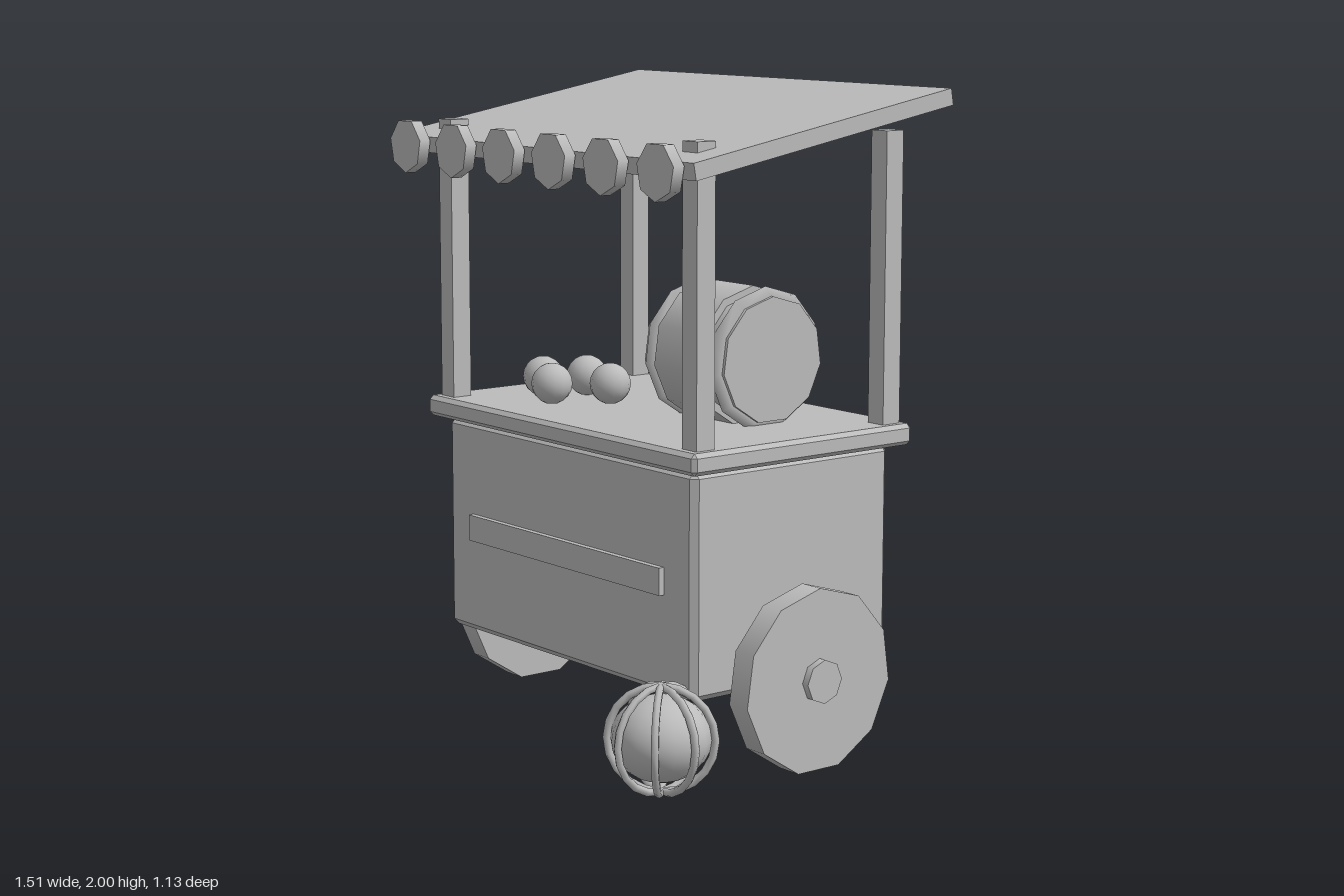
import * as THREE from 'three';
import { ConvexGeometry } from 'three/addons/geometries/ConvexGeometry.js';

const grey = new THREE.MeshStandardMaterial({ color: 0xbcbcbc });
grey.name = 'plain grey';

// Box with every edge chamfered by c
function chamferBox(w, h, d, c) {
  const pts = [];
  for (const sx of [-1, 1]) for (const sy of [-1, 1]) for (const sz of [-1, 1]) {
    const x = w / 2, y = h / 2, z = d / 2;
    pts.push(
      new THREE.Vector3(sx * x, sy * (y - c), sz * (z - c)),
      new THREE.Vector3(sx * (x - c), sy * y, sz * (z - c)),
      new THREE.Vector3(sx * (x - c), sy * (y - c), sz * z));
  }
  return new ConvexGeometry(pts);
}

// Cylinder lying along x with one corner pointing up
function drum(radius, length, sides) {
  return new THREE.CylinderGeometry(radius, radius, length, sides)
    .rotateX(-Math.PI / 2).rotateY(Math.PI / 2);
}

export function createModel() {
  const cart = new THREE.Group();
  cart.name = 'marketCart';
  const add = (name, geometry, x, y, z, parent = cart) => {
    const mesh = new THREE.Mesh(geometry, grey);
    mesh.name = name;
    mesh.position.set(x, y, z);
    parent.add(mesh);
    return mesh;
  };

  // Cart body, counter and front plank
  add('body', chamferBox(1.23, 0.675, 0.755, 0.02), 0, 0.6025, -0.07);
  add('counter', chamferBox(1.335, 0.065, 0.843, 0.013), 0, 0.9725, -0.071);
  add('frontPlank', new THREE.BoxGeometry(0.96, 0.082, 0.04), 0, 0.603, 0.306);

  // Posts
  for (const x of [-0.604, 0.604]) for (const z of [0.283, -0.432])
    add('post', new THREE.BoxGeometry(0.066, 0.89, 0.066), x, 1.432, z);

  // Sloping canopy with a row of scallops along its front
  add('canopy', new THREE.BoxGeometry(1.48, 0.05, 0.984), 0, 1.89, -0.076)
    .rotation.x = THREE.MathUtils.degToRad(10);
  for (let i = 0; i < 6; i++)
    add('scallop', new THREE.CylinderGeometry(0.084, 0.084, 0.038, 7).rotateX(Math.PI / 2),
      -0.62 + i * 0.248, 1.8, 0.434);

  // Wheels and hubs
  for (const side of [-1, 1]) {
    add('wheel', drum(0.278, 0.08, 11), side * 0.691, 0.295, -0.073);
    add('hub', drum(0.066, 0.06, 8), side * 0.725, 0.298, -0.073);
  }

  // Barrel lying on the counter
  const barrel = new THREE.Group();
  barrel.name = 'barrel';
  barrel.position.set(0.246, 1.2, -0.142);
  cart.add(barrel);
  add('barrelCore', drum(0.19, 0.374, 11), 0, 0, 0, barrel);
  add('barrelBand', drum(0.214, 0.207, 11), -0.008, 0, 0, barrel);
  for (const side of [-1, 1])
    add('barrelHoop', new THREE.TorusGeometry(0.19, 0.027, 4, 11)
      .rotateZ(Math.PI / 2).rotateY(Math.PI / 2), side * 0.15, 0, 0, barrel);

  // Fruit on the counter
  for (const [x, z] of [[-0.416, 0.08], [-0.278, 0.148], [-0.347, -0.04], [-0.167, 0.005]])
    add('fruit', new THREE.SphereGeometry(0.064, 14, 10), x, 1.07, z);

  // Pumpkin beside the cart, with ribs standing off the flesh
  const pumpkin = new THREE.Group();
  pumpkin.name = 'pumpkin';
  pumpkin.position.set(0.577, 0.17, 0.395);
  cart.add(pumpkin);
  add('pumpkinFlesh', new THREE.SphereGeometry(0.147, 16, 12).scale(1, 0.86, 1), 0, 0.003, 0, pumpkin);
  for (let i = 0; i < 4; i++)
    add('pumpkinRib', new THREE.TorusGeometry(0.157, 0.012, 6, 20), 0, 0, 0, pumpkin)
      .rotation.y = i * Math.PI / 4;

  return cart;
}
